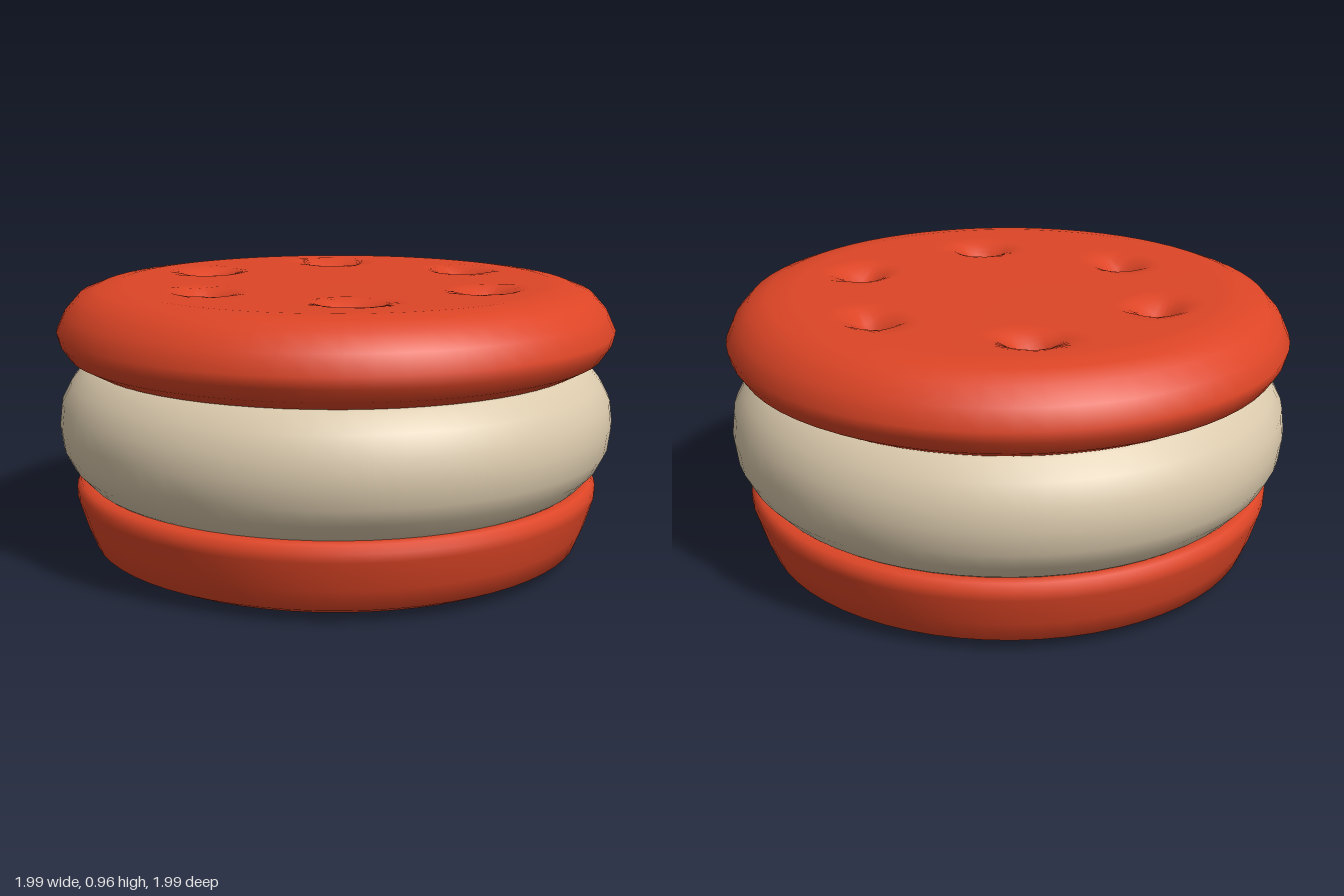
import * as THREE from 'three';
import { mergeVertices } from 'three/addons/utils/BufferGeometryUtils.js';

const SEGMENTS = 64;

// Turned disc with a welded seam; profile runs from the bottom axis outwards, then up to the top axis.
function turned(profile, reshape) {
  const points = profile.map(([r, y]) => new THREE.Vector2(r, y));
  let geo = new THREE.LatheGeometry(points, SEGMENTS);
  geo.deleteAttribute('uv');
  geo.deleteAttribute('normal');
  geo = mergeVertices(geo, 1e-4);
  if (reshape) {
    const pos = geo.attributes.position;
    for (let i = 0; i < pos.count; i++) {
      pos.setY(i, reshape(pos.getX(i), pos.getY(i), pos.getZ(i)));
    }
  }
  geo.computeVertexNormals();
  return geo;
}

export function createModel() {
  const biscuit = new THREE.MeshStandardMaterial({ color: 0xdd4526 });
  biscuit.name = 'red biscuit';
  const cream = new THREE.MeshStandardMaterial({ color: 0xdac9ac });
  cream.name = 'cream filling';

  const model = new THREE.Group();
  model.name = 'sandwichBiscuit';
  const add = (name, geo, material) => {
    const mesh = new THREE.Mesh(geo, material);
    mesh.name = name;
    model.add(mesh);
  };

  // Lower biscuit, narrowing towards its flat base
  add('bottomBiscuit', turned([
    [0, 0], [0.76, 0.004], [0.83, 0.018], [0.885, 0.045], [0.915, 0.12],
    [0.945, 0.22], [0.945, 0.25], [0.93, 0.275], [0.9, 0.277], [0, 0.277],
  ]), biscuit);

  // Bulging filling
  add('creamFilling', turned([
    [0, 0.26], [0.87, 0.26], [0.905, 0.285], [0.955, 0.34], [0.985, 0.4],
    [0.995, 0.48], [0.985, 0.56], [0.95, 0.625], [0.9, 0.685], [0.86, 0.695], [0, 0.695],
  ]), cream);

  // Upper biscuit: rounded rim and a finely ringed top with six funnel-shaped dimples
  const topProfile = [
    [0, 0.687], [0.85, 0.687], [0.89, 0.69], [0.955, 0.725], [0.985, 0.77],
    [0.995, 0.81], [0.965, 0.875], [0.915, 0.93], [0.85, 0.955], [0.78, 0.965],
  ];
  for (let r = 0.74; r > 0.01; r -= 0.02) topProfile.push([r, 0.965 - 0.012 * (1 - r / 0.76)]);
  topProfile.push([0, 0.953]);

  const dimples = [];
  for (let i = 0; i < 6; i++) {
    const a = (i * Math.PI) / 3;
    dimples.push([0.56 * Math.cos(a), -0.04 + 0.55 * Math.sin(a)]);
  }
  const pressDimples = (x, y, z) => {
    if (y < 0.9) return y;
    for (const [dx, dz] of dimples) {
      const d = Math.hypot(x - dx, z - dz) / 0.14;
      if (d < 1) y -= 0.1 * (1 - d) ** 2;
    }
    return y;
  };
  add('topBiscuit', turned(topProfile, pressDimples), biscuit);

  return model;
}
